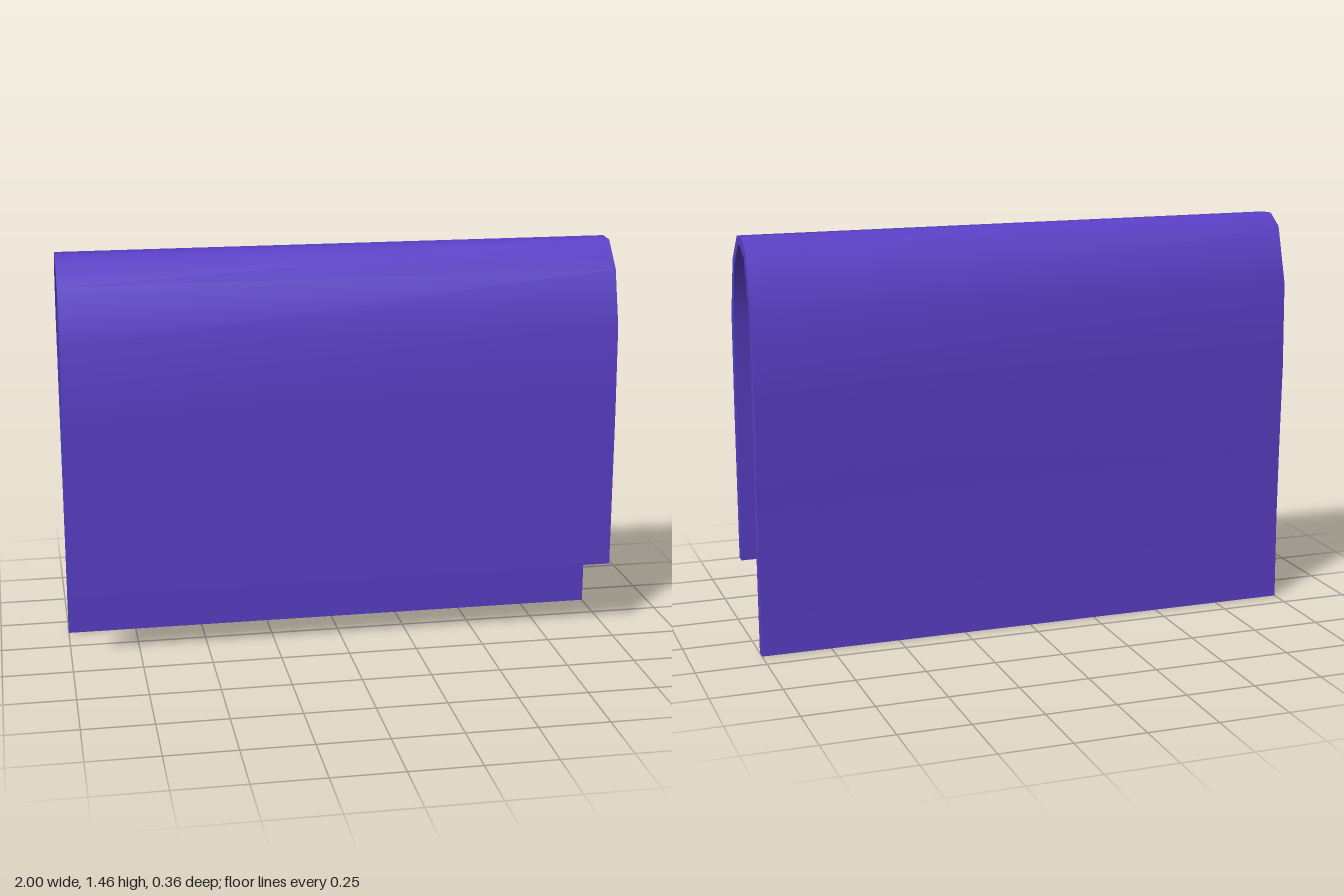
import * as THREE from 'three';
import { toCreasedNormals } from 'three/addons/utils/BufferGeometryUtils.js';

// Folded sheet profile as [z, y], from the short front edge over the fold to the long back edge
const outer = [
  [0.18, 0.26], [0.18, 0.85], [0.172, 1.163], [0.118, 1.364], [0.03, 1.457], [-0.04, 1.461],
  [-0.106, 1.418], [-0.168, 1.213], [-0.176, 0.9], [-0.168, 0.575], [-0.165, 0.32], [-0.17, 0],
];
const inner = [
  [0.141, 0.26], [0.141, 0.85], [0.133, 1.16], [0.091, 1.345], [0.017, 1.426], [-0.02, 1.426],
  [-0.075, 1.395], [-0.134, 1.205], [-0.137, 0.9], [-0.13, 0.575], [-0.127, 0.32], [-0.132, 0],
];

export function createModel() {
  const group = new THREE.Group();
  group.name = 'foldedCloth';

  // Closed outline: along the outside, back along the inside
  const outline = [...outer, ...[...inner].reverse()].map(([z, y]) => new THREE.Vector2(z, y));
  const geometry = new THREE.ExtrudeGeometry(new THREE.Shape(outline), { depth: 2, bevelEnabled: false });
  geometry.rotateY(-Math.PI / 2);
  geometry.translate(1, 0, 0);

  // Smooth over the fold, sharp at the cut edges
  const cloth = new THREE.Mesh(
    toCreasedNormals(geometry, Math.PI / 3),
    new THREE.MeshStandardMaterial({ color: 0x5a40c8 }),
  );
  cloth.name = 'cloth';
  group.add(cloth);
  return group;
}
